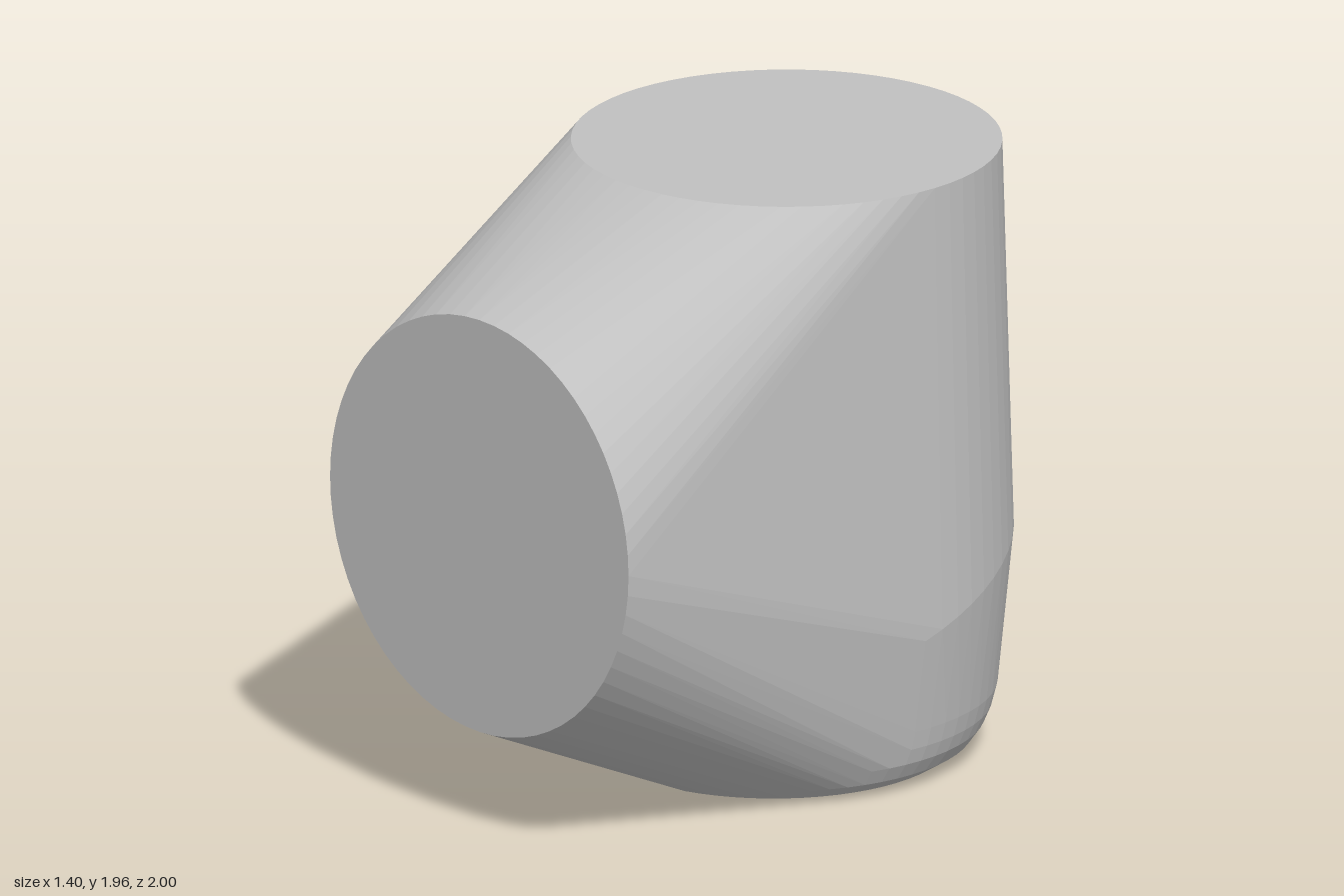
import * as THREE from 'three';
import { ConvexGeometry } from 'three/addons/geometries/ConvexGeometry.js';

const SEGMENTS = 64;

// points around a circle, placed by a rule (cos, sin) -> position
function ring(place) {
  return Array.from({ length: SEGMENTS }, (_, i) => {
    const a = (i / SEGMENTS) * Math.PI * 2;
    return place(Math.cos(a), Math.sin(a));
  });
}

export function createModel() {
  const group = new THREE.Group();
  group.name = 'elbowBlock';
  const grey = new THREE.MeshStandardMaterial({ color: 0xc0c0c0 });
  grey.name = 'plain grey';
  grey.flatShading = true;

  // round top and front openings, closed by flat discs
  const top = ring((c, s) => new THREE.Vector3(0.664 * c, 1.96, -0.301 + 0.664 * s));
  const front = ring((c, s) => new THREE.Vector3(0.668 * c, 1.002 + 0.668 * s, 1));

  // slanted waist around the back, the widest part of the body
  const waist = ring((c, s) => {
    const z = -0.3 + 0.7 * s;
    return new THREE.Vector3(0.7 * c, 0.51 - 0.35 * (z + 0.22), z);
  }).filter((p) => p.z < -0.2);

  // rounded base: [height, radius, centre z]
  const base = [
    [0, 0.49, -0.24], [0.015, 0.55, -0.245], [0.05, 0.6, -0.265],
    [0.1, 0.63, -0.275], [0.15, 0.645, -0.285], [0.21, 0.655, -0.293],
  ].flatMap(([y, r, cz]) => ring((c, s) => new THREE.Vector3(r * c, y, cz + r * s)))
    // the front of the rounding is cut by the slope up to the front disc
    .filter((p) => p.y >= 0.445 * (p.z - 0.251));

  // body: the skin stretched over the rings
  const body = new THREE.Mesh(new ConvexGeometry([...top, ...front, ...waist, ...base]), grey);
  body.name = 'body';
  group.add(body);
  return group;
}
